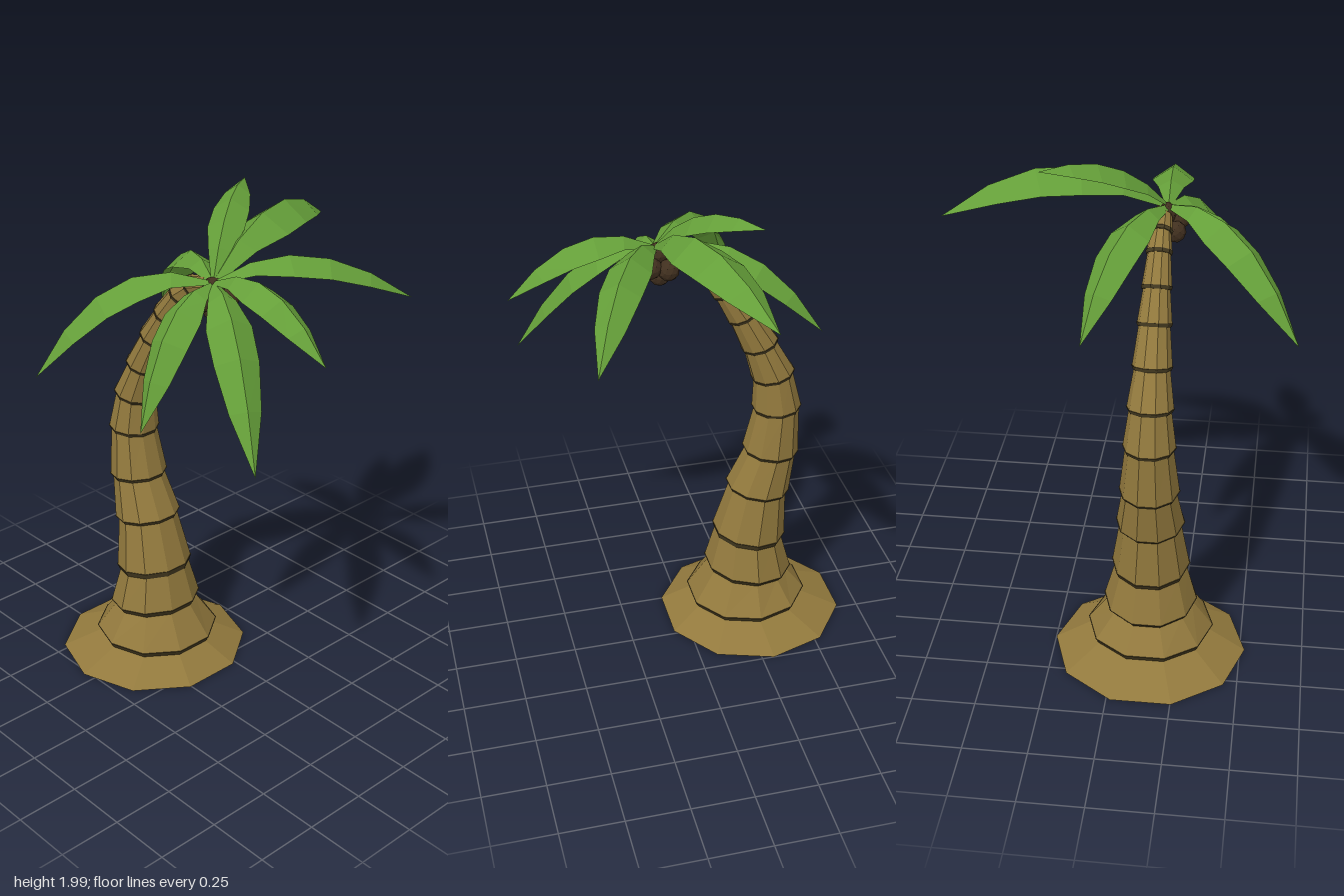
import * as THREE from 'three';

const mat = (name, color, extra = {}) => {
  const m = new THREE.MeshStandardMaterial({ color, flatShading: true, ...extra });
  m.name = name;
  return m;
};

const SIDES = 10;
const TRUNK_X = -0.135;

// Faceted solid lofted through tilted ten-sided sections {y, z, r, a}, closed at both ends
function loft(sections) {
  const pos = [], idx = [];
  sections.forEach(({ y, z, r, a }) => {
    for (let i = 0; i < SIDES; i++) {
      const t = (i / SIDES) * Math.PI * 2, d = r * Math.sin(t);
      pos.push(TRUNK_X + r * Math.cos(t), y - d * Math.sin(a), z + d * Math.cos(a));
    }
  });
  for (let s = 0; s < sections.length - 1; s++) {
    for (let i = 0; i < SIDES; i++) {
      const j = (i + 1) % SIDES, a = s * SIDES + i, b = s * SIDES + j;
      idx.push(a, a + SIDES, b, b, a + SIDES, b + SIDES);
    }
  }
  const top = (sections.length - 1) * SIDES;
  for (let i = 1; i < SIDES - 1; i++) {
    idx.push(0, i, i + 1);
    idx.push(top, top + i + 1, top + i);
  }
  return build(pos, idx);
}

function build(pos, idx) {
  const indexed = new THREE.BufferGeometry();
  indexed.setAttribute('position', new THREE.Float32BufferAttribute(pos, 3));
  indexed.setIndex(idx);
  const g = indexed.toNonIndexed();
  g.computeVertexNormals();
  return g;
}

// Section moved along its own axis
const shift = (j, d, r) => ({ y: j.y + d * Math.cos(j.a), z: j.z + d * Math.sin(j.a), r, a: j.a });

// Tent-shaped leaf: a curved midrib with two drooping halves
function frondGeometry(start, mid, tip, width) {
  const control = mid.clone().multiplyScalar(2).addScaledVector(start, -0.5).addScaledVector(tip, -0.5);
  const curve = new THREE.QuadraticBezierCurve3(start, control, tip);
  const side = new THREE.Vector3(tip.z - start.z, 0, start.x - tip.x).normalize();
  const profile = [0.15, 0.62, 1, 0.98, 0.7, 0];
  const pos = [], idx = [];
  profile.forEach((w, i) => {
    const t = i / (profile.length - 1), p = curve.getPoint(t), tan = curve.getTangent(t);
    const down = new THREE.Vector3().crossVectors(side, tan).normalize();
    if (down.y > 0) down.negate();
    for (const s of [-1, 0, 1]) {
      const v = p.clone().addScaledVector(side, s * w * width);
      if (s) v.addScaledVector(down, w * width * 0.7);
      pos.push(v.x, v.y, v.z);
    }
    if (i < profile.length - 1) {
      for (const k of [0, 1]) {
        const a = i * 3 + k, b = a + 1, c = a + 3, d = a + 4;
        idx.push(a, b, c, b, d, c);
      }
    }
  });
  return build(pos, idx);
}

export function createModel() {
  const root = new THREE.Group();
  root.name = 'palmTree';
  const bark = mat('bark', 0x92793d);
  const groove = mat('darkGroove', 0x443a20);
  const leaf = mat('leaf', 0x659f39, { side: THREE.DoubleSide });
  const shell = mat('coconutShell', 0x41301f);

  const add = (parent, name, geometry, material) => {
    const m = new THREE.Mesh(geometry, material);
    m.name = name;
    parent.add(m);
    return m;
  };

  // Trunk joints: height, depth, tilt, radius below the joint, radius above it
  const joints = [
    [0.09, -0.28, 0, 0.235, 0.25],
    [0.225, -0.286, -0.12, 0.165, 0.184],
    [0.395, -0.288, -0.15, 0.142, 0.153],
    [0.615, -0.323, -0.16, 0.12, 0.132],
    [0.79, -0.374, -0.11, 0.105, 0.115],
    [0.993, -0.395, 0.03, 0.092, 0.1],
    [1.147, -0.376, 0.21, 0.08, 0.088],
    [1.29, -0.318, 0.3, 0.068, 0.075],
    [1.43, -0.246, 0.43, 0.059, 0.065],
    [1.545, -0.175, 0.53, 0.051, 0.056],
    [1.65, -0.097, 0.7, 0.044, 0.048],
    [1.702, -0.03, 1.0, 0.038, 0.042],
    [1.73, 0.06, 1.25, 0.034, 0.034],
  ].map(([y, z, a, below, above]) => ({ y, z, a, below, above }));

  const trunk = new THREE.Group();
  trunk.name = 'trunk';
  root.add(trunk);
  add(trunk, 'rootFlare', loft([{ y: 0, z: -0.3, r: 0.385, a: 0 }, shift(joints[0], -0.01, joints[0].below)]), bark);
  joints.forEach((j, i) => {
    const next = joints[i + 1];
    if (!next) return;
    const h = i < 3 ? 0.012 : 0.007;
    add(trunk, 'trunkGroove', loft([shift(j, -h, j.below + 0.004), shift(j, h, j.above + 0.003)]), groove);
    add(trunk, 'trunkSegment', loft([shift(j, h, j.above), shift(next, -0.006, next.below)]), bark);
  });

  // Fronds: mid point, tip, half width
  const crown = new THREE.Vector3(-0.15, 1.76, 0.1);
  const fronds = new THREE.Group();
  fronds.name = 'fronds';
  root.add(fronds);
  [
    [[-0.425, 1.75, -0.135], [-0.665, 1.4, -0.31], 0.09],
    [[0.0, 1.755, -0.22], [0.107, 1.45, -0.49], 0.08],
    [[0.05, 1.955, -0.04], [0.29, 1.985, -0.2], 0.07],
    [[0.25, 1.935, 0.0], [0.664, 1.775, -0.146], 0.105],
    [[0.16, 1.83, 0.28], [0.54, 1.615, 0.457], 0.08],
    [[-0.145, 1.81, 0.39], [-0.143, 1.6, 0.665], 0.08],
    [[-0.28, 1.66, 0.357], [-0.42, 1.25, 0.607], 0.085],
    [[-0.39, 1.67, 0.13], [-0.585, 1.325, 0.19], 0.08],
  ].forEach(([mid, tip, width]) => {
    add(fronds, 'frond', frondGeometry(crown, new THREE.Vector3(...mid), new THREE.Vector3(...tip), width), leaf);
  });

  // Coconut cluster below the crown
  const nuts = new THREE.Group();
  nuts.name = 'coconuts';
  root.add(nuts);
  const nutGeometry = new THREE.IcosahedronGeometry(0.042, 1);
  [
    [-0.15, 1.67, 0.145], [-0.135, 1.642, 0.085], [-0.09, 1.68, 0.06], [-0.18, 1.67, 0.055],
    [-0.1, 1.69, 0.125], [-0.19, 1.7, 0.115], [-0.14, 1.73, 0.09],
  ].forEach((p) => add(nuts, 'coconut', nutGeometry, shell).position.set(...p));

  return root;
}
